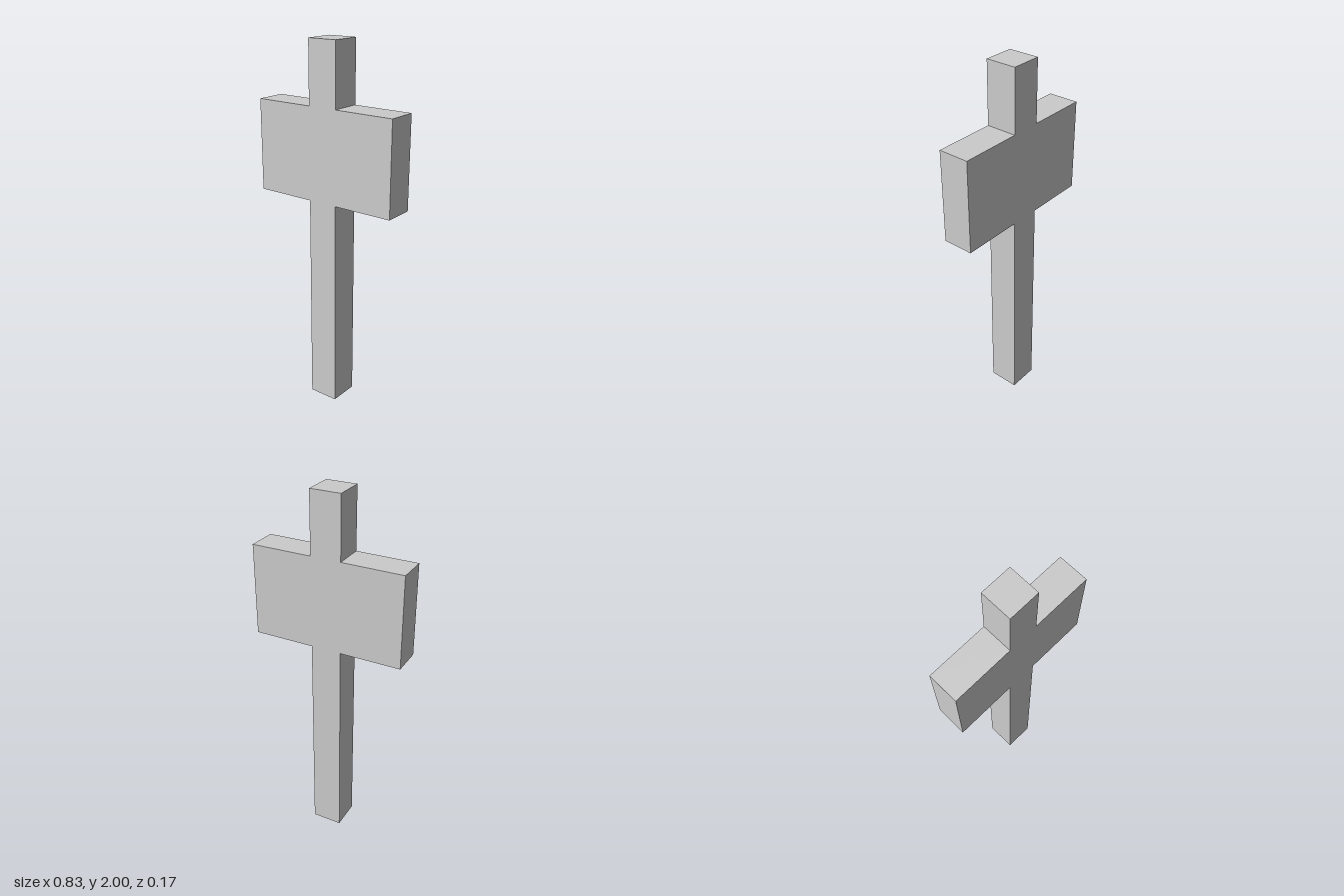
import * as THREE from 'three';

export function createModel() {
  const group = new THREE.Group();
  group.name = 'signpost';
  const material = new THREE.MeshStandardMaterial({ color: 0xcccccc, flatShading: true });

  const u = 1 / 6; // post thickness; every size is a multiple of it
  const post = u / 2, board = 2.5 * u;
  const height = 12 * u, boardBottom = 7 * u, boardTop = 10 * u;

  // Right half of the outline, from foot to top; mirrored for the left half
  const half = [
    [post, 0], [post, boardBottom], [board, boardBottom],
    [board, boardTop], [post, boardTop], [post, height],
  ];
  const mirrored = half.map(([x, y]) => [-x, y]).reverse();
  const outline = new THREE.Shape([...half, ...mirrored].map(([x, y]) => new THREE.Vector2(x, y)));

  // Post and flush board as one solid, centred in depth
  const geometry = new THREE.ExtrudeGeometry(outline, { depth: u, bevelEnabled: false });
  geometry.translate(0, 0, -u / 2);
  const mesh = new THREE.Mesh(geometry, material);
  mesh.name = 'postAndBoard';
  group.add(mesh);
  return group;
}
